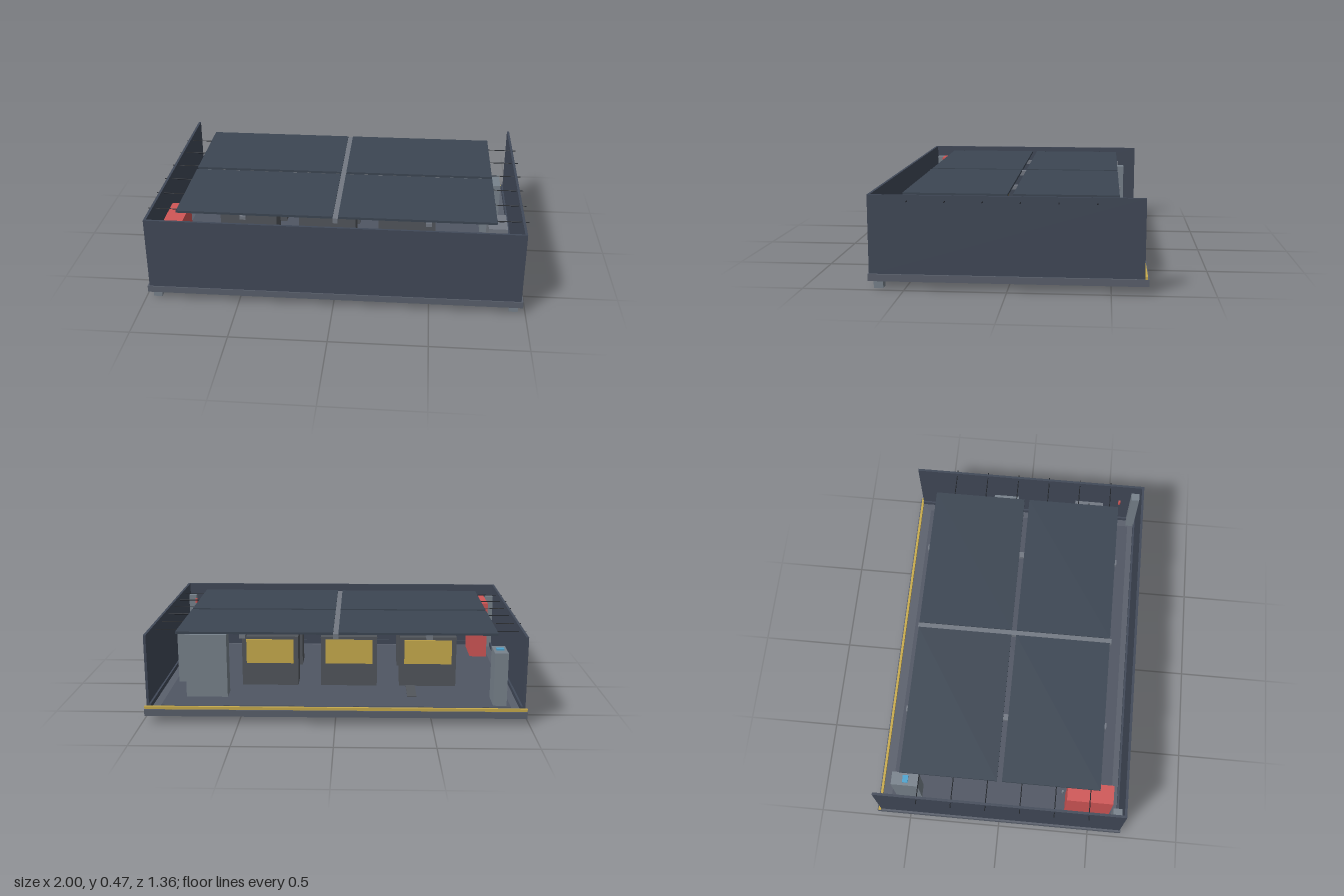
import * as THREE from 'three';

const mats = {};
const mat = (color) => (mats[color] ??= new THREE.MeshStandardMaterial({ color }));

const SLAB = 0x5a606c, FLOOR = 0x505663, WALL = 0x414958, PANEL = 0x3c4653, BEAM = 0x737983;
const STEEL = 0x78828c, CABINET = 0x52565c, YELLOW = 0xc8ab4c, RED = 0xd05656, DARK = 0x22262c, BLUE = 0x4aa3d0;
const GROUND = 0.078;

export function createModel() {
  const model = new THREE.Group();

  // Box given by its min and max on each axis
  const box = (name, color, [x0, x1], [y0, y1], [z0, z1], parent = model) => {
    const mesh = new THREE.Mesh(new THREE.BoxGeometry(x1 - x0, y1 - y0, z1 - z0), mat(color));
    mesh.position.set((x0 + x1) / 2, (y0 + y1) / 2, (z0 + z1) / 2);
    mesh.name = name;
    parent.add(mesh);
    return mesh;
  };
  const cylinder = (name, color, r, h, x, y, z, parent = model) => {
    const mesh = new THREE.Mesh(new THREE.CylinderGeometry(r, r, h, 12), mat(color));
    mesh.position.set(x, y, z);
    mesh.name = name;
    parent.add(mesh);
    return mesh;
  };

  // Base slab, floor covering and the threshold along the open back
  box('baseSlab', SLAB, [-0.985, 0.985], [0.04, 0.075], [-0.68, 0.68]);
  box('floorCovering', FLOOR, [-0.91, 0.91], [0.07, GROUND], [-0.61, 0.62]);
  box('thresholdStrip', YELLOW, [-0.985, 0.985], [0.075, 0.09], [-0.673, -0.66]);

  // Three walls, skirting and front corner posts that end in feet
  box('frontWall', WALL, [-0.975, 0.975], [0.075, 0.465], [0.662, 0.675]);
  box('frontSkirting', WALL, [-0.96, 0.96], [0.075, 0.1], [0.652, 0.662]);
  for (const s of [-1, 1]) {
    const span = (a, b) => (s > 0 ? [a, b] : [-b, -a]);
    box('sideWall', WALL, span(0.962, 0.975), [0.075, 0.465], [-0.66, 0.665]);
    box('sideSkirting', WALL, span(0.952, 0.962), [0.075, 0.1], [-0.66, 0.655]);
    box('cornerPost', STEEL, span(0.917, 0.963), [0, 0.4], [0.608, 0.655]);
  }

  // Ceiling: tie rods through the walls, beams and four panels
  for (let i = 0; i < 6; i++) {
    const rod = cylinder('tieRod', DARK, 0.0025, 2, 0, 0.437, -0.43 + i * 0.182);
    rod.rotation.z = Math.PI / 2;
  }
  box('centreBeam', BEAM, [-0.014, 0.014], [0.42, 0.447], [-0.54, 0.54]);
  for (const x of [-0.485, 0.485]) box('ceilingBeam', BEAM, [x - 0.016, x + 0.016], [0.42, 0.44], [-0.545, 0.54]);
  for (const x of [[-0.84, -0.014], [0.014, 0.835]])
    for (const z of [[-0.535, -0.017], [0.01, 0.53]]) box('ceilingPanel', PANEL, x, [0.441, 0.453], z);

  // Two rows of cabinets with yellow windows facing the open back
  for (const z of [-0.25, 0.15]) {
    for (const x of [-0.5, -0.065, 0.37]) {
      const cabinet = new THREE.Group();
      cabinet.name = 'cabinet';
      cabinet.position.set(x, 0, z);
      box('cabinetBody', CABINET, [-0.155, 0.155], [GROUND, 0.355], [0, 0.15], cabinet);
      box('cabinetWindow', YELLOW, [-0.13, 0.13], [0.205, 0.34], [-0.006, 0.004], cabinet);
      cylinder('cabinetLamp', BEAM, 0.012, 0.03, -0.12, 0.37, 0.12, cabinet);
      model.add(cabinet);
    }
  }
  box('floorDuct', CABINET, [-0.43, -0.38], [0.075, 0.083], [-0.45, -0.25]);

  // Tall lockers along the left side
  box('tallLocker', STEEL, [0.58, 0.8], [GROUND, 0.42], [-0.47, -0.37]);
  box('sideLocker', STEEL, [0.79, 0.89], [GROUND, 0.38], [-0.2, -0.055]);
  box('frontLocker', BEAM, [0.8, 0.9], [GROUND, 0.37], [0.28, 0.445]);
  box('lockerSeam', DARK, [0.82, 0.885], [0.368, 0.374], [0.358, 0.364]);
  cylinder('wallHook', RED, 0.007, 0.03, 0.905, 0.38, 0.54);

  // Terminal by the entrance and red chest in the front corner
  box('terminalBody', STEEL, [-0.89, -0.82], [GROUND, 0.36], [-0.585, -0.44]);
  box('terminalScreen', BLUE, [-0.875, -0.835], [0.36, 0.368], [-0.525, -0.495]);
  box('redChest', RED, [-0.9, -0.8], [GROUND, 0.41], [0.36, 0.605]);
  cylinder('chestHandle', STEEL, 0.006, 0.04, -0.85, 0.38, 0.335);

  return model;
}
